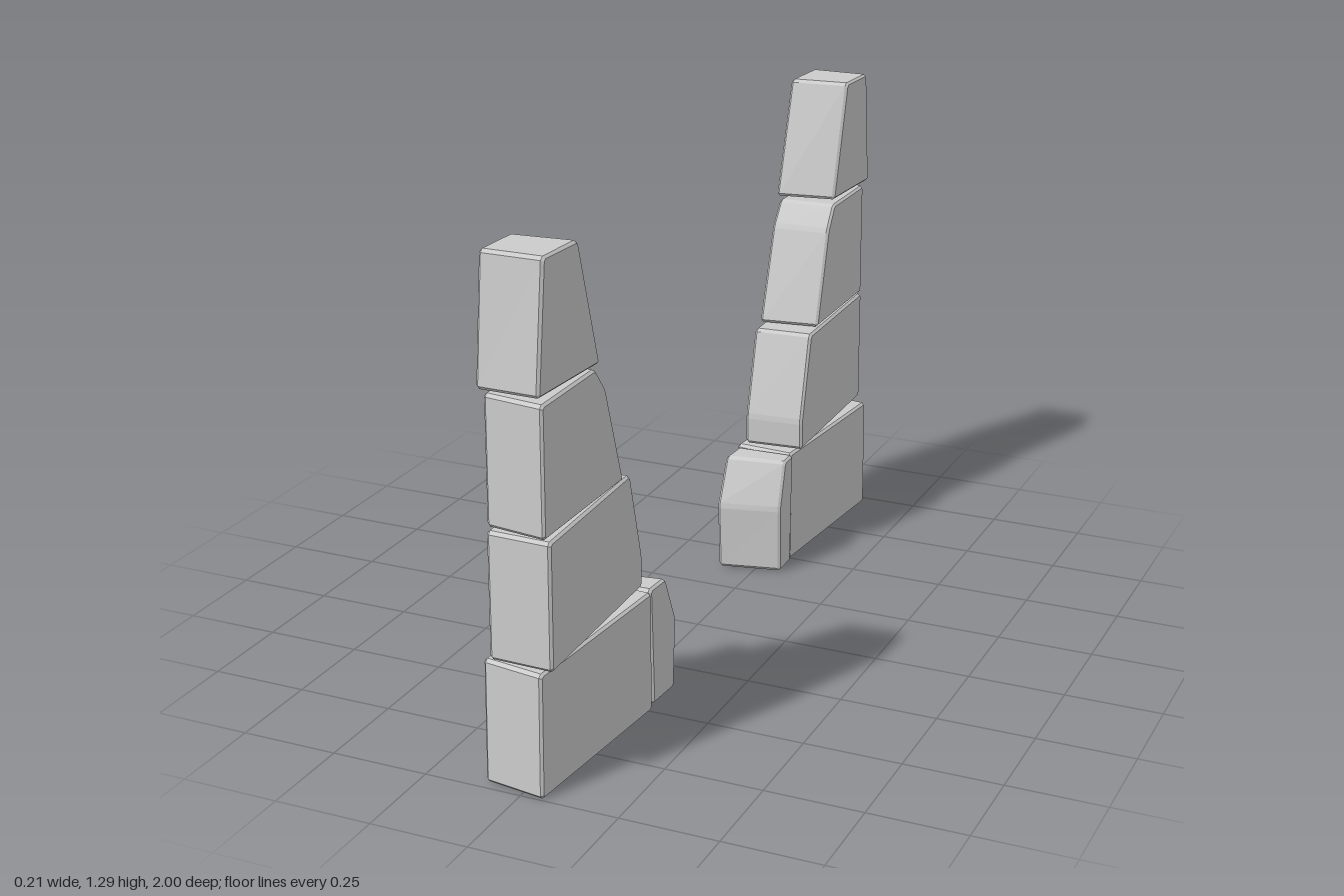
import * as THREE from 'three';

const material = new THREE.MeshStandardMaterial({ color: 0xcccccc, flatShading: true });
const BEVEL = 0.006;

// Cuts every corner of a [z, y] outline by a small amount.
function chamfer(points, cut = 0.008) {
  const out = [];
  points.forEach((p, i) => {
    const n = points.length;
    for (const q of [points[(i + n - 1) % n], points[(i + 1) % n]]) {
      const len = Math.hypot(q[0] - p[0], q[1] - p[1]);
      out.push(new THREE.Vector2(
        -(p[0] + ((q[0] - p[0]) * cut) / len),
        p[1] + ((q[1] - p[1]) * cut) / len
      ));
    }
  });
  return out;
}

// Hewn block: side outline at its +x face, x ranges at the inner and outer
// ends, and how far those ends shift in z on the -x face.
function block({ name, outline, innerX, outerX, innerSkew, outerSkew }) {
  const geometry = new THREE.ExtrudeGeometry(new THREE.Shape(chamfer(outline)), {
    depth: 1 - 0.08, bevelEnabled: true, bevelSegments: 1,
    bevelThickness: 0.04, bevelSize: BEVEL, bevelOffset: -BEVEL,
  });
  geometry.translate(0, 0, 0.04).rotateY(Math.PI / 2);
  const zs = outline.map((p) => p[0]);
  const zMin = Math.min(...zs), zMax = Math.max(...zs);
  const { lerp } = THREE.MathUtils;
  const pos = geometry.attributes.position;
  for (let i = 0; i < pos.count; i++) {
    const t = pos.getX(i), z = pos.getZ(i);
    const w = (z - zMin) / (zMax - zMin);
    pos.setX(i, lerp(lerp(innerX[0], outerX[0], w), lerp(innerX[1], outerX[1], w), t));
    pos.setZ(i, z + (1 - t) * lerp(innerSkew, outerSkew, w));
  }
  geometry.computeVertexNormals();
  const mesh = new THREE.Mesh(geometry, material);
  mesh.name = name;
  return mesh;
}

const BLOCKS = [
  {
    name: 'baseBlock',
    outline: [[0.495, 0.003], [1.0, 0.0], [0.995, 0.315], [0.495, 0.32]],
    innerX: [-0.065, 0.1], outerX: [-0.103, 0.058], innerSkew: -0.012, outerSkew: -0.025,
  },
  {
    name: 'footStone',
    outline: [[0.36, 0.003], [0.47, 0.003], [0.483, 0.318], [0.402, 0.318], [0.349, 0.19]],
    innerX: [-0.072, 0.097], outerX: [-0.07, 0.09], innerSkew: 0.042, outerSkew: 0.003,
  },
  {
    name: 'lowerBlock',
    outline: [[0.492, 0.328], [0.993, 0.325], [0.991, 0.642], [0.556, 0.644], [0.49, 0.41]],
    innerX: [-0.088, 0.073], outerX: [-0.076, 0.087], innerSkew: 0.014, outerSkew: -0.005,
  },
  {
    name: 'middleBlock',
    outline: [[0.602, 0.648], [1.0, 0.648], [0.998, 0.965], [0.738, 0.967], [0.688, 0.905]],
    innerX: [-0.082, 0.08], outerX: [-0.078, 0.078], innerSkew: 0.022, outerSkew: -0.022,
  },
  {
    name: 'topBlock',
    outline: [[0.728, 0.978], [0.998, 0.978], [0.965, 1.29], [0.815, 1.29]],
    innerX: [-0.075, 0.086], outerX: [-0.087, 0.07], innerSkew: 0.025, outerSkew: -0.004,
  },
];

export function createModel() {
  const model = new THREE.Group();
  model.name = 'brokenArchSides';
  // Two matching stacks, the second turned half round
  ['frontStack', 'backStack'].forEach((name, i) => {
    const stack = new THREE.Group();
    stack.name = name;
    BLOCKS.forEach((b) => stack.add(block(b)));
    stack.rotation.y = i * Math.PI;
    model.add(stack);
  });
  return model;
}
